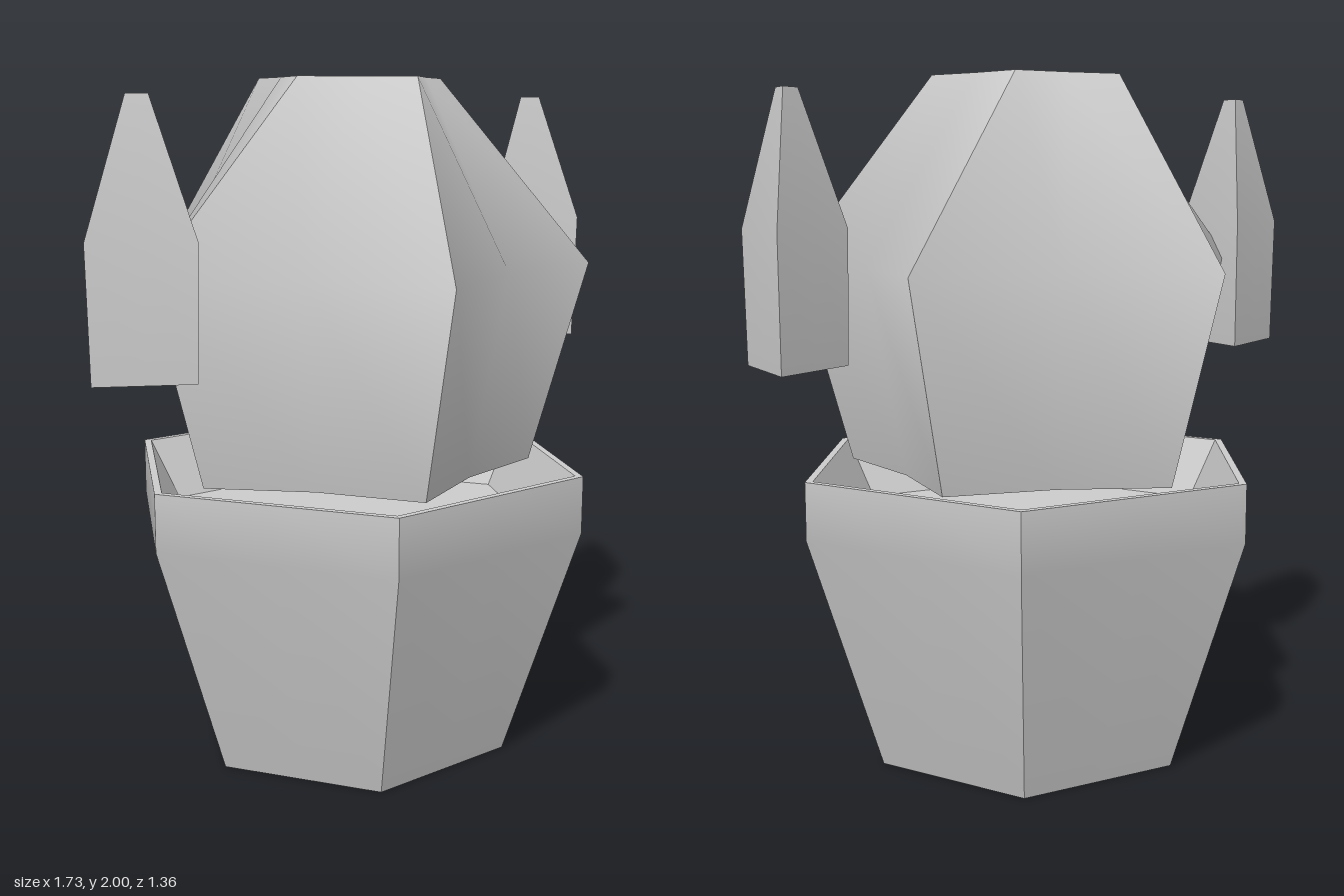
import * as THREE from 'three';

const clay = new THREE.MeshStandardMaterial({ color: 0xcccccc });
clay.name = 'light grey';

// Strip of n panels through rings of [y, corner radius, mid-panel radius, twist].
// Panels share no vertices, so corners stay sharp and panels shade smoothly.
function panels(rings, n, phase) {
  const positions = [], indices = [], step = Math.PI / n;
  for (let i = 0; i < n; i++) {
    const start = positions.length / 3;
    for (const [y, r, mid = r * Math.cos(step), twist = 0] of rings) {
      for (let k = 0; k < 3; k++) {
        const a = phase + twist + (2 * i + k) * step;
        const d = k === 1 ? mid : r;
        positions.push(Math.cos(a) * d, y, Math.sin(a) * d);
      }
    }
    for (let j = 0; j < rings.length - 1; j++) {
      for (let k = 0; k < 2; k++) {
        const lo = start + j * 3 + k, hi = lo + 3;
        indices.push(lo, hi, hi + 1, lo, hi + 1, lo + 1);
      }
    }
  }
  const geometry = new THREE.BufferGeometry();
  geometry.setAttribute('position', new THREE.Float32BufferAttribute(positions, 3));
  geometry.setIndex(indices);
  geometry.computeVertexNormals();
  return geometry;
}

// A part made of several strips with hard edges between them
function part(name, x, n, phase, strips) {
  const group = new THREE.Group();
  group.name = name;
  group.position.x = x;
  for (const [label, rings] of Object.entries(strips)) {
    const mesh = new THREE.Mesh(panels(rings, n, phase), clay);
    mesh.name = label;
    group.add(mesh);
  }
  return group;
}

export function createModel() {
  const model = new THREE.Group();
  model.name = 'pottedCactus';

  // Six-sided pot with a thin rim and a recessed soil floor
  model.add(part('pot', 0.04, 6, 0, {
    potBase: [[0, 0], [0, 0.488]],
    potWall: [[0, 0.488], [0.7, 0.711], [0.87, 0.711]],
    potRim: [[0.87, 0.711], [0.87, 0.687]],
    potLining: [[0.87, 0.687], [0.69, 0.59]],
    soil: [[0.69, 0.59], [0.69, 0]],
  }));

  // Five-ribbed body with hollow panels, twisted towards the flat top
  const twist = -Math.PI / 10;
  const bottom = [0.86, 0.545, 0.405, 0];
  const top = [2, 0.283, 0.218, twist];
  model.add(part('cactusBody', 0.037, 5, Math.PI / 5, {
    bodyUnderside: [[0.86, 0, 0, 0], bottom],
    bodyRibs: [bottom, [1.46, 0.713, 0.52, 0], top],
    bodyTop: [top, [2, 0, 0, twist]],
  }));

  // Two three-sided arms, both pointing the same way
  for (const [name, x] of [['rightArm', -0.695], ['leftArm', 0.777]]) {
    model.add(part(name, x, 3, Math.PI, {
      armUnderside: [[1.19, 0], [1.19, 0.163]],
      armSides: [[1.19, 0.163], [1.57, 0.171], [1.95, 0.035]],
      armTip: [[1.95, 0.035], [1.95, 0]],
    }));
  }
  return model;
}
